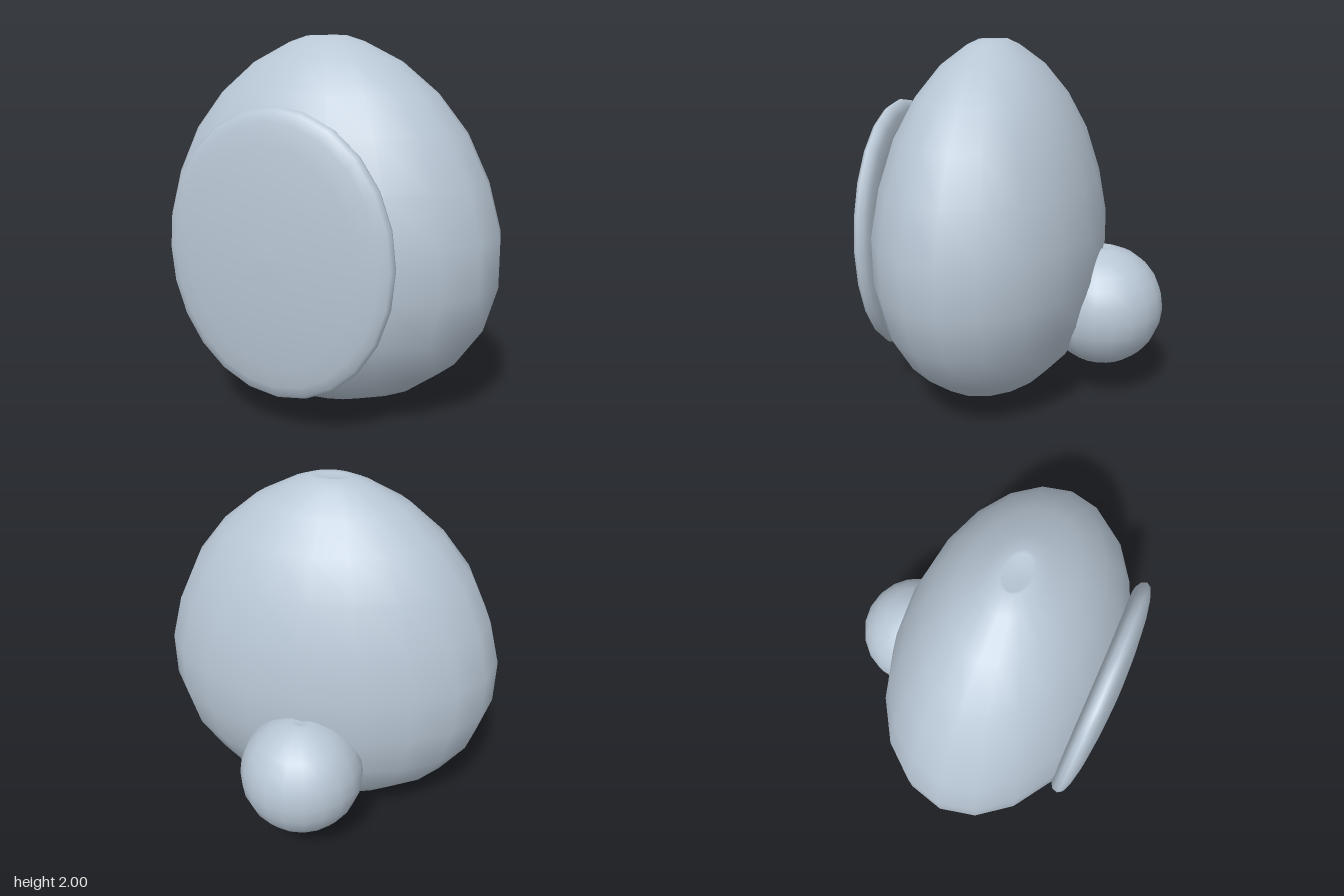
import * as THREE from 'three';

const pts = (list) => list.map(([r, y]) => new THREE.Vector2(r, y));

export function createModel() {
  const model = new THREE.Group();
  model.name = 'roundBody';
  const skin = new THREE.MeshStandardMaterial({ color: 0xb8c6d4 });
  skin.name = 'paleBlueGrey';

  const add = (name, geometry, x, y, z) => {
    const mesh = new THREE.Mesh(geometry, skin);
    mesh.name = name;
    mesh.position.set(x, y, z);
    model.add(mesh);
  };

  // Egg-shaped body, flattened front to back, with a shallow dimple on top
  const body = new THREE.LatheGeometry(pts([
    [0, 0], [0.29, 0.04], [0.545, 0.14], [0.75, 0.295], [0.895, 0.505],
    [0.965, 0.745], [0.965, 1.0], [0.895, 1.255], [0.775, 1.505],
    [0.615, 1.705], [0.42, 1.865], [0.21, 1.97], [0.115, 2.0], [0.1, 1.99], [0, 1.985],
  ]), 20);
  body.scale(1, 1, 0.653);
  add('body', body, 0, 0, 0.155);

  // Oval belly patch: a thin lens turned about the front axis
  const belly = new THREE.LatheGeometry(pts([
    [0, -0.06], [0.8, -0.06], [0.93, -0.052], [0.985, -0.03], [1, 0],
    [0.975, 0.025], [0.9, 0.045], [0.75, 0.066], [0.5, 0.085], [0.25, 0.097], [0, 0.1],
  ]), 24);
  belly.rotateX(Math.PI / 2);
  belly.scale(0.63, 0.733, 1);
  add('belly', belly, 0, 0.927, 0.717);

  // Round tail with a small dimple at its top
  const tail = [];
  for (let i = 0; i <= 11; i++) {
    const a = (i / 12) * Math.PI;
    tail.push([0.34 * Math.sin(a), -0.34 * Math.cos(a)]);
  }
  tail.push([0.045, 0.339], [0.038, 0.333], [0, 0.331]);
  add('tail', new THREE.LatheGeometry(pts(tail), 20), 0, 0.53, -0.48);

  return model;
}
